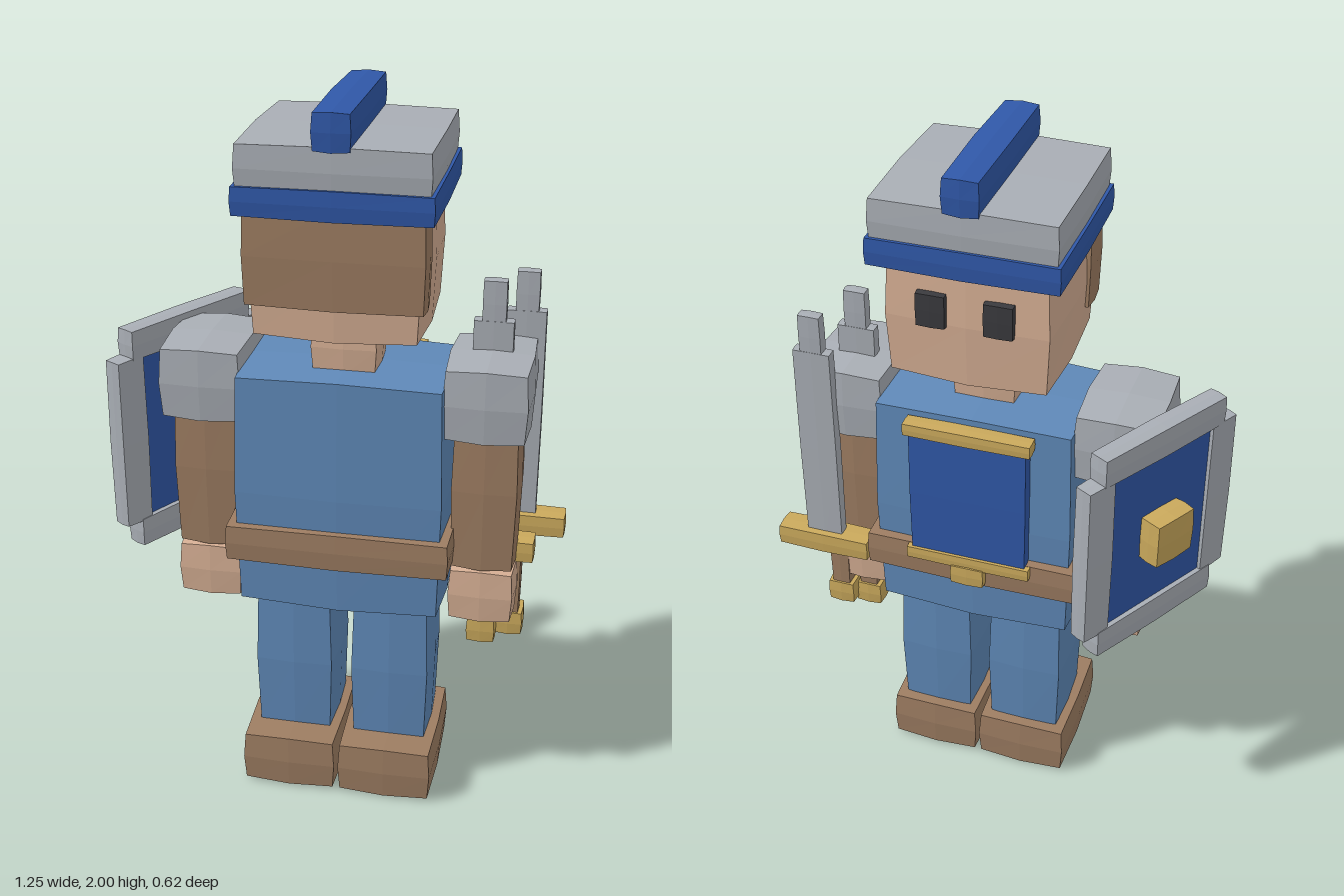
import * as THREE from 'three';

const mat = (name, color) => {
  const m = new THREE.MeshStandardMaterial({ color, flatShading: true });
  m.name = name;
  return m;
};

// Slightly swollen block given by its extents: edges and corners are drawn in a little.
function block(parent, name, material, [x0, x1], [y0, y1], [z0, z1], swell = 0.012) {
  const s = [x1 - x0, y1 - y0, z1 - z0];
  const geo = new THREE.BoxGeometry(...s, 2, 2, 2);
  const p = geo.attributes.position;
  const d = Math.min(swell, 0.06 * Math.min(...s));
  for (let i = 0; i < p.count; i++) {
    const n = [p.getX(i) / s[0] * 2, p.getY(i) / s[1] * 2, p.getZ(i) / s[2] * 2];
    const edges = n.reduce((a, v) => a + Math.abs(v), 0) - 1;
    const v = n.map((k, a) => k * (s[a] / 2 - d * edges / 2));
    p.setXYZ(i, ...v);
  }
  geo.computeVertexNormals();
  const mesh = new THREE.Mesh(geo, material);
  mesh.name = name;
  mesh.position.set((x0 + x1) / 2, (y0 + y1) / 2, (z0 + z1) / 2);
  parent.add(mesh);
  return mesh;
}

const around = (c, w) => [c - w / 2, c + w / 2];

export function createModel() {
  const cloth = mat('clothBlue', 0x5f89b8);
  const royal = mat('royalBlue', 0x3058a8);
  const leather = mat('leatherBrown', 0x9d7d62);
  const skin = mat('skin', 0xd6af94);
  const steel = mat('steelGrey', 0xa9aeb5);
  const gold = mat('gold', 0xcaa95c);
  const dark = mat('eyeDark', 0x3a3a3e);

  const model = new THREE.Group();
  model.name = 'knight';
  const cx = 0.025; // body centre line

  // Legs, boots, arms, hands and shoulder plates, mirrored about the body
  for (const side of [1, -1]) {
    const tag = side > 0 ? 'left' : 'right';
    const at = (offset, w) => around(cx + side * offset, w);
    block(model, tag + 'Leg', cloth, at(0.138, 0.23), [0.15, 0.6], [-0.07, 0.188]);
    block(model, tag + 'Boot', leather, at(0.139, 0.277), [0, 0.168], [-0.1, 0.272]);
    block(model, tag + 'Arm', leather, at(0.384, 0.188), [0.715, 1.2], [-0.043, 0.165]);
    block(model, tag + 'Hand', skin, at(0.384, 0.188), [0.555, 0.72], [-0.035, 0.165]);
    block(model, tag + 'ShoulderPlate', steel, at(0.382, 0.235), [1.115, 1.33], [-0.092, 0.21]);
    block(model, tag + 'Eye', dark, at(0.09, 0.08), [1.57, 1.665], [-0.17, -0.14]);
  }

  // Torso, belt and chest panel
  block(model, 'torso', cloth, around(cx, 0.58), [0.59, 1.285], [-0.13, 0.25], 0.016);
  block(model, 'belt', leather, around(cx, 0.62), [0.735, 0.848], [-0.155, 0.272]);
  block(model, 'chestPanel', royal, around(cx, 0.335), [0.83, 1.235], [-0.164, -0.115]);
  block(model, 'panelTopTrim', gold, around(cx, 0.36), [1.22, 1.26], [-0.172, -0.12]);
  block(model, 'panelBottomTrim', gold, around(cx, 0.36), [0.803, 0.843], [-0.172, -0.12]);
  block(model, 'buckle', gold, around(cx, 0.1), [0.748, 0.812], [-0.178, -0.12]);

  // Head
  block(model, 'neck', skin, around(cx, 0.185), [1.26, 1.42], [-0.02, 0.157]);
  block(model, 'head', skin, around(cx, 0.455), [1.395, 1.76], [-0.155, 0.282], 0.016);
  block(model, 'hair', leather, around(cx, 0.472), [1.488, 1.76], [0.173, 0.292]);

  // Helmet
  block(model, 'helmetRim', royal, around(cx, 0.515), [1.725, 1.808], [-0.187, 0.307], 0.016);
  block(model, 'helmetDome', steel, around(cx, 0.5), [1.78, 1.915], [-0.18, 0.3], 0.02);
  block(model, 'helmetCrest', royal, around(cx, 0.105), [1.895, 2], [-0.187, 0.307]);

  // Two upright swords at the left hand; one runs up behind the shoulder plate
  function sword(name, x, z, gripZ, top, guardY) {
    const g = new THREE.Group();
    g.name = name;
    block(g, 'blade', steel, around(x, 0.11), [guardY, top - 0.11], around(z, 0.038));
    block(g, 'bladeTip', steel, around(x, 0.065), [top - 0.13, top], around(z, 0.036));
    block(g, 'guard', gold, around(x, 0.28), around(guardY, 0.066), around(z, 0.08));
    block(g, 'grip', leather, around(x, 0.06), [0.5, guardY], around(gripZ, 0.075));
    block(g, 'pommel', gold, around(x, 0.085), around(guardY - 0.264, 0.076), around(gripZ, 0.088));
    model.add(g);
  }
  sword('innerSword', 0.406, 0.037, 0.037, 1.52, 0.742);
  sword('outerSword', 0.48, -0.1, 0.002, 1.505, 0.756);

  // Shield, turned outward on the right arm (its face is local -z)
  const shield = new THREE.Group();
  shield.name = 'shield';
  shield.position.set(-0.472, 1.01, -0.065);
  shield.rotation.y = Math.PI / 3;
  block(shield, 'shieldPanel', royal, around(0, 0.4), around(0, 0.52), around(0, 0.034));
  for (const s of [1, -1]) {
    block(shield, 'sideFrame', steel, around(s * 0.228, 0.096), around(0, 0.5), around(0, 0.058));
    block(shield, 'crossFrame', steel, around(0, 0.45), around(s * 0.285, 0.09), around(0, 0.064));
  }
  block(shield, 'shieldBoss', gold, around(0, 0.14), around(0, 0.14), [-0.085, -0.01]);
  model.add(shield);

  return model;
}
